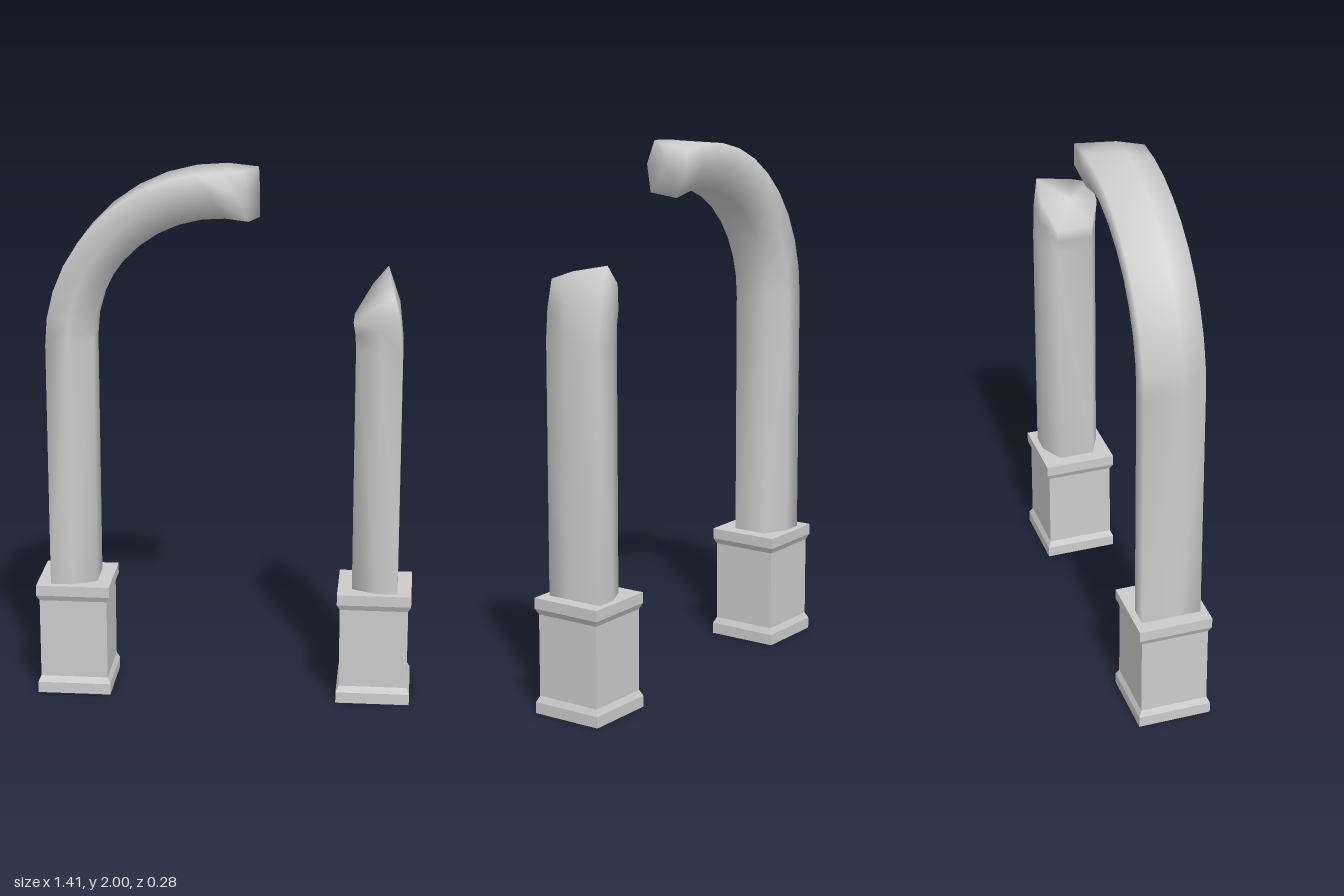
import * as THREE from 'three';

const stone = new THREE.MeshStandardMaterial({ color: 0xcccccc });
stone.name = 'grey stone';

// Cross-section: [radius from the arch centre, z, left break angle, right break angle]
const SECTION = [
  [0.64, 0.112, 91, 19],    // outer front
  [0.56, 0.112, 96, 17],    // side front
  [0.47, 0.068, 102, 12],   // inner front
  [0.47, -0.068, 106, 12],  // inner back
  [0.56, -0.112, 103, 21],  // side back
  [0.64, -0.112, 101, 25],  // outer back
  [0.64, 0.03, 97, 22],     // middle of the outer face
];
const SPRING_Y = 1.36;

// Upright shaft that bends into the arch and stops at a jagged break
function brokenShaft(side, steps) {
  const n = SECTION.length, positions = [], index = [];
  const tri = (a, b, c) => (side < 0 ? index.push(a, b, c) : index.push(a, c, b));
  for (let row = -1; row <= steps; row++) {
    for (const [r, z, leftEnd, rightEnd] of SECTION) {
      const end = THREE.MathUtils.degToRad(side < 0 ? leftEnd : rightEnd);
      const a = end * Math.max(row, 0) / steps;
      const y = row < 0 ? 0.42 : SPRING_Y + r * Math.sin(a);
      positions.push(side * (0.01 + r * Math.cos(a)), y, z);
    }
  }
  for (let row = 0; row <= steps; row++) {
    for (let i = 0; i < n; i++) {
      const a = row * n + i, b = row * n + (i + 1) % n;
      tri(a, b, b + n);
      tri(a, b + n, a + n);
    }
  }
  // Broken face, fanned around its middle
  const last = (steps + 1) * n, mid = [0, 0, 0];
  for (let i = 0; i < n; i++) {
    for (let k = 0; k < 3; k++) mid[k] += positions[(last + i) * 3 + k] / n;
  }
  positions.push(...mid);
  for (let i = 0; i < n; i++) tri(last + i, last + (i + 1) % n, last + n);

  const geo = new THREE.BufferGeometry();
  geo.setAttribute('position', new THREE.Float32BufferAttribute(positions, 3));
  geo.setIndex(index);
  geo.computeVertexNormals();
  return geo;
}

// Square plinth with a moulded foot and cap
function plinthGeometry() {
  const profile = [
    [0, 0], [0.138, 0], [0.138, 0.042], [0.127, 0.065],
    [0.127, 0.37], [0.138, 0.392], [0.138, 0.432], [0, 0.432],
  ].map(([half, y]) => new THREE.Vector2(half * Math.SQRT2, y));
  const geo = new THREE.LatheGeometry(profile, 4).rotateY(Math.PI / 4).toNonIndexed();
  geo.computeVertexNormals();
  return geo;
}

export function createModel() {
  const model = new THREE.Group();
  model.name = 'brokenArch';
  for (const side of [-1, 1]) {
    const pillar = new THREE.Group();
    pillar.name = side < 0 ? 'rightPillar' : 'leftPillar';
    const plinth = new THREE.Mesh(plinthGeometry(), stone);
    plinth.name = 'plinth';
    plinth.position.x = side * 0.565;
    const shaft = new THREE.Mesh(brokenShaft(side, side < 0 ? 10 : 2), stone);
    shaft.name = side < 0 ? 'archedShaft' : 'snappedShaft';
    pillar.add(plinth, shaft);
    model.add(pillar);
  }
  return model;
}
